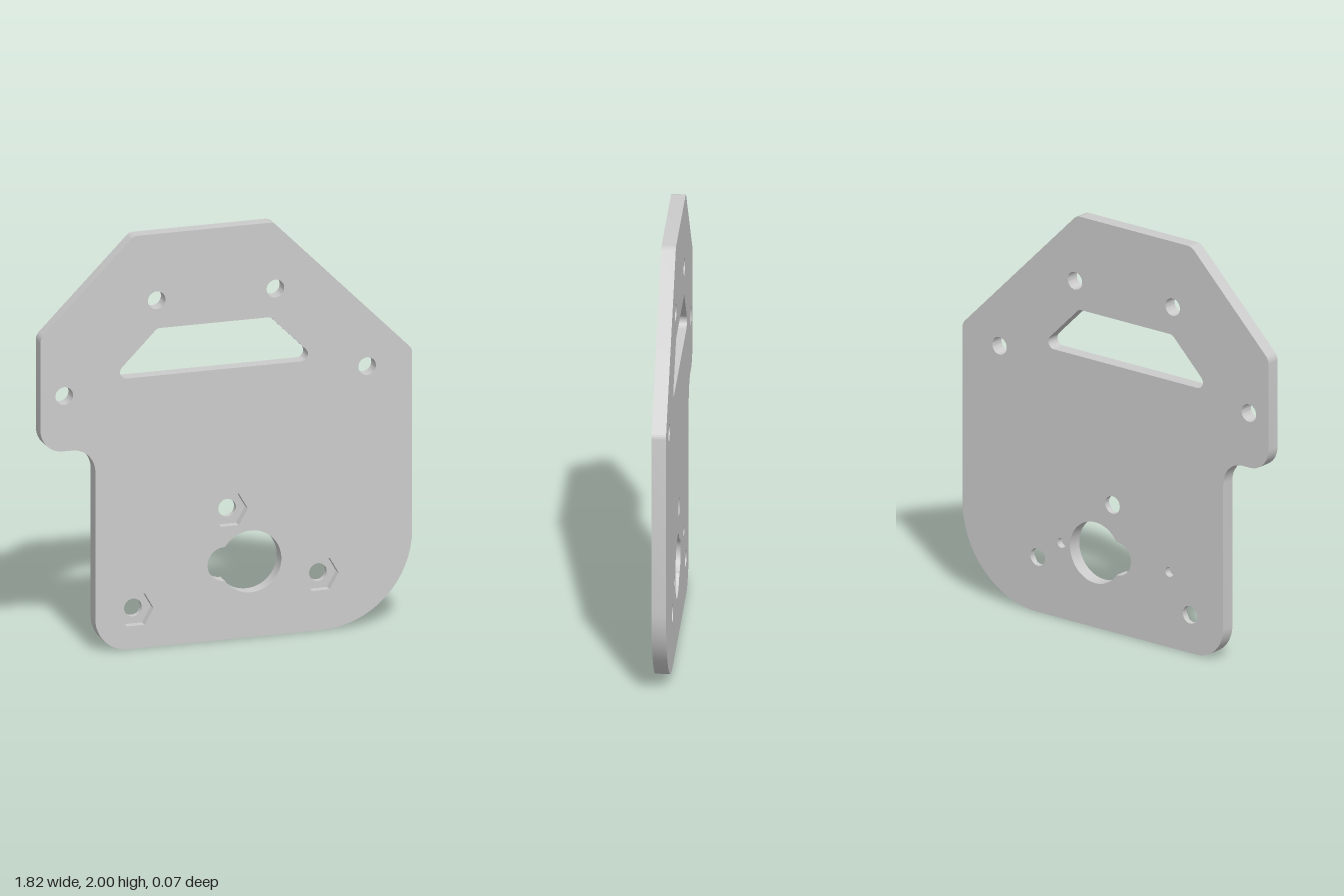
import * as THREE from 'three';
import { toCreasedNormals } from 'three/addons/utils/BufferGeometryUtils.js';

const FRONT = 0.034, BACK = -0.034;
const POCKET = -0.006; // floor of the nut pockets
const DIMPLE = 0; // floor of the blind pin holes
const V = (x, y) => new THREE.Vector2(x, y);

// Counter-clockwise arc as a list of points
function arc(x, y, r, a0, a1, n) {
  return Array.from({ length: n + 1 }, (_, i) => {
    const a = a0 + (a1 - a0) * i / n;
    return V(x + r * Math.cos(a), y + r * Math.sin(a));
  });
}
const ring = (x, y, r, n = 40) => arc(x, y, r, 0, Math.PI * 2, n).slice(0, n);

// Polygon with a fillet radius at each corner: [x, y, r]
function filleted(corners) {
  return corners.flatMap(([x, y, r], i) => {
    const p = V(x, y), n = corners.length;
    const [a, b] = [corners[(i + n - 1) % n], corners[(i + 1) % n]]
      .map(c => V(c[0], c[1]).sub(p).normalize());
    const half = Math.acos(a.dot(b)) / 2;
    const mid = a.clone().add(b).normalize();
    const centre = p.clone().addScaledVector(mid, r / Math.sin(half));
    const start = p.clone().addScaledVector(a, r / Math.tan(half)).sub(centre);
    const turn = Math.sign(b.cross(a)) * (Math.PI - 2 * half);
    const a0 = start.angle();
    return arc(centre.x, centre.y, r, a0, a0 + turn, 16);
  });
}

// Flat face with holes at depth z, facing forward or backward
function face(outline, holes, z, backward = false) {
  const shape = new THREE.Shape(outline);
  shape.holes = holes.map(h => new THREE.Path(h));
  const g = new THREE.ShapeGeometry(shape);
  if (backward) {
    const idx = g.index.array;
    for (let i = 0; i < idx.length; i += 3) [idx[i], idx[i + 1]] = [idx[i + 1], idx[i]];
    g.computeVertexNormals();
  }
  return g.translate(0, 0, z);
}

// Wall along a counter-clockwise loop; inward for holes
function wall(loop, z0, z1, inward = false) {
  const pts = inward ? [...loop].reverse() : loop, pos = [];
  pts.forEach((p, i) => {
    const q = pts[(i + 1) % pts.length];
    pos.push(p.x, p.y, z0, q.x, q.y, z0, q.x, q.y, z1,
      p.x, p.y, z0, q.x, q.y, z1, p.x, p.y, z1);
  });
  const g = new THREE.BufferGeometry();
  g.setAttribute('position', new THREE.Float32BufferAttribute(pos, 3));
  return toCreasedNormals(g, Math.PI / 6);
}

export function createModel() {
  const model = new THREE.Group();
  model.name = 'mountingPlate';
  const material = new THREE.MeshStandardMaterial({ color: 0xcccccc });
  const add = (name, geometry) => {
    const mesh = new THREE.Mesh(geometry, material);
    mesh.name = name;
    model.add(mesh);
  };

  const outline = filleted([
    [-0.64, 0, 0.16], [0.908, 0, 0.445], [0.908, 1.322, 0.05], [0.23, 2, 0.05],
    [-0.452, 2, 0.05], [-0.908, 1.546, 0.05], [-0.908, 0.99, 0.11], [-0.64, 0.99, 0.115],
  ]);
  const window = filleted([
    [-0.566, 1.313, 0.033], [0.445, 1.313, 0.033], [0.216, 1.542, 0.033], [-0.337, 1.542, 0.033],
  ]);
  // Large round hole with a smaller lobe on one side
  const t = 2.565;
  const keyhole = [
    ...arc(0.119, 0.367, 0.15, -t, t, 48),
    ...arc(-0.01, 0.367, 0.082, Math.PI / 2, Math.PI * 1.5, 24).slice(1, -1),
  ];
  const screwHoles = [[-0.34, 1.678], [0.24, 1.678], [-0.792, 1.258], [0.688, 1.258]]
    .map(([x, y]) => ring(x, y, 0.043));
  const nuts = [[0.017, 0.625], [-0.443, 0.187], [0.461, 0.27]];
  const hexes = nuts.map(([x, y]) => ring(x, y, 0.088, 6));
  const nutHoles = nuts.map(([x, y]) => ring(x, y, 0.043));
  const pins = [-0.32, 0.32].map(x => ring(x, 0.37, 0.024, 24));

  const through = [window, keyhole, ...screwHoles];
  add('frontFace', face(outline, [...through, ...hexes], FRONT));
  add('backFace', face(outline, [...through, ...nutHoles, ...pins], BACK, true));
  add('outerEdge', wall(outline, BACK, FRONT));
  add('windowEdge', wall(window, BACK, FRONT, true));
  add('keyholeEdge', wall(keyhole, BACK, FRONT, true));
  screwHoles.forEach(h => add('screwHole', wall(h, BACK, FRONT, true)));

  // Hexagonal nut pockets with a bolt hole through the floor
  hexes.forEach((hex, i) => {
    add('nutPocketWall', wall(hex, POCKET, FRONT, true));
    add('nutPocketFloor', face(hex, [nutHoles[i]], POCKET));
    add('nutBoltHole', wall(nutHoles[i], BACK, POCKET, true));
  });

  // Blind pin holes in the back
  pins.forEach(p => {
    add('pinHoleWall', wall(p, BACK, DIMPLE, true));
    add('pinHoleFloor', face(p, [], DIMPLE, true));
  });
  return model;
}
